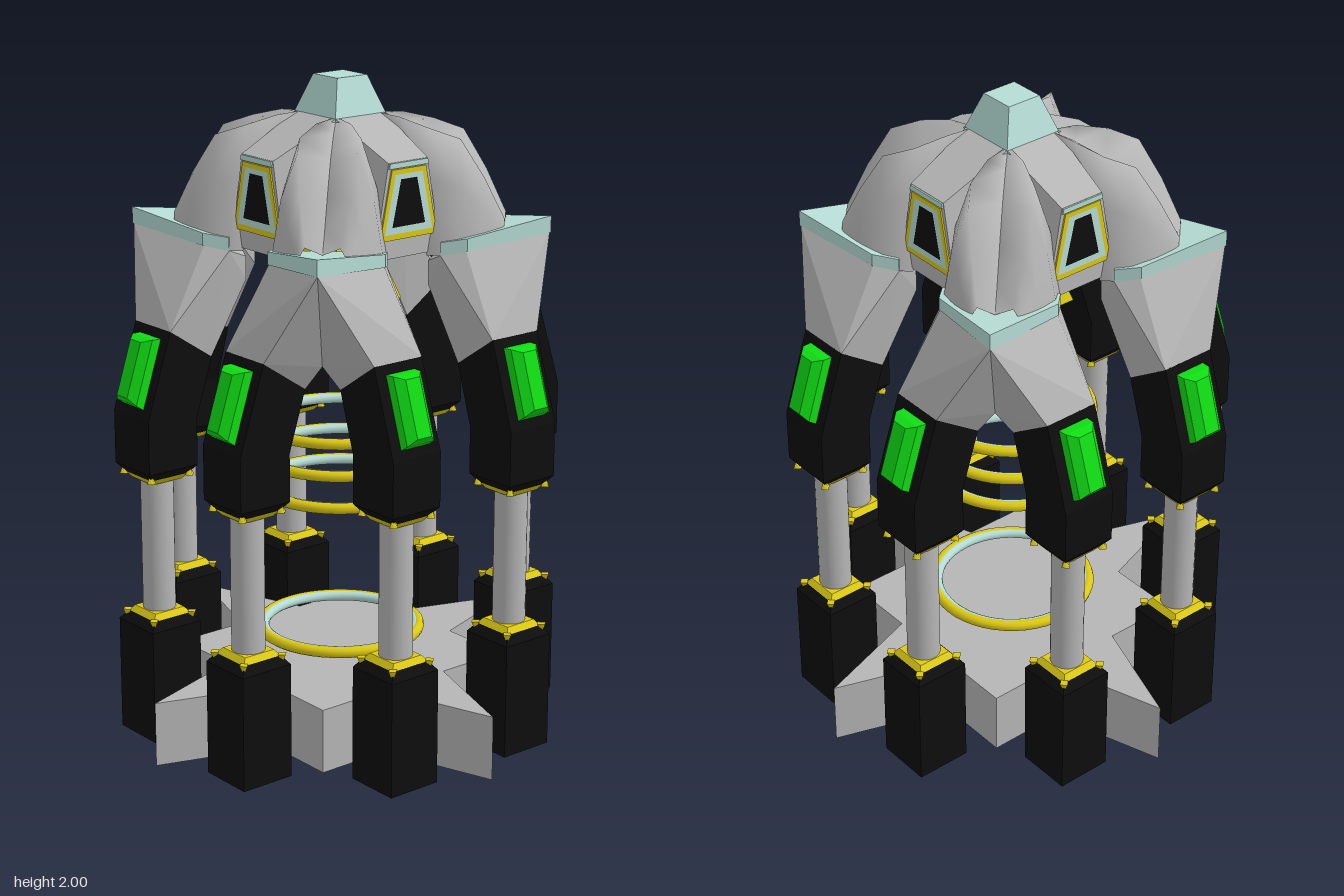
import * as THREE from 'three';
import { ConvexGeometry } from 'three/addons/geometries/ConvexGeometry.js';

const mat = (name, color, side = THREE.FrontSide) =>
  Object.assign(new THREE.MeshStandardMaterial({ color, side }), { name });

export function createModel() {
  const grey = mat('stone grey', 0xb6b6b6, THREE.DoubleSide);
  const teal = mat('pale teal', 0xb6dcd5, THREE.DoubleSide);
  const yellow = mat('yellow', 0xdcc914, THREE.DoubleSide);
  const green = mat('signal green', 0x10dd14);
  const black = mat('black', 0x0d0d0d, THREE.DoubleSide);

  const root = new THREE.Group();
  root.name = 'walkerTower';
  const add = (parent, name, geometry, material, x = 0, y = 0, z = 0) => {
    const m = new THREE.Mesh(geometry, material);
    m.name = name;
    m.position.set(x, y, z);
    parent.add(m);
    return m;
  };
  const group = (parent, name, angle = 0) => {
    const g = new THREE.Group();
    g.name = name;
    g.rotation.y = angle;
    parent.add(g);
    return g;
  };
  const hull = pts => new ConvexGeometry(pts.map(p => new THREE.Vector3(...p)));
  const flat = g => {
    const f = g.toNonIndexed();
    f.computeVertexNormals();
    return f;
  };
  // Square frustum given by half widths, standing on its base
  const frustum = (bottom, top, h) =>
    flat(new THREE.CylinderGeometry(top * Math.SQRT2, bottom * Math.SQRT2, h, 4)
      .rotateY(Math.PI / 4).translate(0, h / 2, 0));
  const poly = pts => new THREE.Shape(pts.map(p => new THREE.Vector2(...p)));

  // Star-shaped base plate
  const starPts = [];
  for (let k = 0; k < 4; k++) {
    const a = k * Math.PI / 2, c = Math.cos(a), s = Math.sin(a);
    for (const [x, y] of [[0.5, 0], [1 / 3, 1 / 6], [0.5, 0.5], [1 / 6, 1 / 3]])
      starPts.push([x * c - y * s, x * s + y * c]);
  }
  add(root, 'starBase', new THREE.ExtrudeGeometry(poly(starPts), { depth: 0.2, bevelEnabled: false })
    .rotateX(-Math.PI / 2), grey);

  // Floating rings, teal on the inside
  for (const y of [0.28, 0.74, 0.84, 0.94]) {
    add(root, 'ring', new THREE.TorusGeometry(0.245, 0.017, 10, 48).rotateX(Math.PI / 2), yellow, 0, y);
    add(root, 'ringLining', new THREE.TorusGeometry(0.236, 0.0155, 10, 48).rotateX(Math.PI / 2), teal, 0, y);
  }

  // Chamfered cap with yellow trim and corner studs
  const addCap = (parent, y, flip) => {
    const cap = group(parent, 'legCap');
    cap.position.y = y;
    if (flip) cap.rotation.x = Math.PI;
    add(cap, 'capChamfer', frustum(0.088, 0.067, 0.027), black);
    add(cap, 'capTrim', frustum(0.067, 0.053, 0.018), yellow, 0, 0.027);
    for (const sx of [-1, 1]) for (const sz of [-1, 1])
      add(cap, 'cornerStud', new THREE.ConeGeometry(0.016, 0.035, 4).rotateX(Math.PI), yellow,
        sx * 0.07, 0.015, sz * 0.07);
  };

  // One leg; local z points outwards
  const legProfile = [[0.439, 0.855], [0.615, 0.855], [0.615, 1.02], [0.53, 1.28], [0.382, 1.18], [0.439, 1.0]];
  const addLeg = (parent, u) => {
    const leg = group(parent, 'leg');
    leg.position.x = u;
    const lower = group(leg, 'legCore');
    lower.position.z = 0.527;
    add(lower, 'foot', new THREE.BoxGeometry(0.176, 0.355, 0.176), black, 0, 0.1775);
    addCap(lower, 0.355, false);
    addCap(lower, 0.855, true);
    add(lower, 'piston', new THREE.CylinderGeometry(0.05, 0.05, 0.44, 24), grey, 0, 0.6);
    add(leg, 'upperLeg', new THREE.ExtrudeGeometry(poly(legProfile), { depth: 0.176, bevelEnabled: false })
      .rotateY(-Math.PI / 2).translate(0.088, 0, 0), black);
    const pts = [];
    for (const sx of [-1, 1]) for (const sy of [-1, 1])
      pts.push([sx * 0.052, sy * 0.108, 0], [sx * 0.05, sy * 0.1, 0.028], [sx * 0.026, sy * 0.085, 0.05]);
    add(leg, 'greenLamp', hull(pts), green, 0, 1.15, 0.572).rotation.x = -0.316;
  };

  // Trapezoid plate, optionally with a trapezoid hole: [bottom, top, half bottom, half top]
  const trapezoid = ([y0, y1, b, t]) => [[-b, y0], [b, y0], [t, y1], [-t, y1]];
  const plate = (outer, inner) => {
    const s = poly(trapezoid(outer));
    if (inner) s.holes.push(poly(trapezoid(inner)));
    return new THREE.ExtrudeGeometry(s, { depth: 0.005, bevelEnabled: false });
  };

  // Four corners: a pair of legs below a windowed dormer
  for (let k = 0; k < 4; k++) {
    const corner = group(root, 'corner', Math.PI / 4 + k * Math.PI / 2);
    for (const s of [-1, 1]) addLeg(corner, s * 0.223);
    const dormer = [];
    for (const s of [-1, 1])
      dormer.push([s * 0.092, 1.89, 0.092], [s * 0.074, 1.79, 0.308], [s * 0.125, 1.51, 0.308],
        [s * 0.125, 1.51, 0.27], [s * 0.09, 1.68, 0.092]);
    add(corner, 'dormer', hull(dormer), grey);
    const yellowEdge = [1.565, 1.77, 0.108, 0.064];
    const tealEdge = [1.582, 1.755, 0.09, 0.051];
    const glassEdge = [1.602, 1.74, 0.062, 0.03];
    add(corner, 'windowFrame', plate(yellowEdge, tealEdge), yellow, 0, 0, 0.308);
    add(corner, 'windowSurround', plate(tealEdge, glassEdge), teal, 0, 0, 0.308);
    add(corner, 'windowGlass', plate(glassEdge), black, 0, 0, 0.308);
    add(corner, 'windowLintel', plate([1.773, 1.789, 0.074, 0.071]), teal, 0, 0, 0.308);
  }

  // Half of a folded roof petal: rows of [z, edgeX, edgeY, crestX, crestY, valleyY]
  const petalRows = [
    [0.12, 0.02, 1.84, 0.01, 1.89, 1.885],
    [0.18, 0.075, 1.74, 0.05, 1.885, 1.86],
    [0.27, 0.165, 1.5, 0.088, 1.86, 1.80],
    [0.36, 0.165, 1.5, 0.085, 1.83, 1.71],
    [0.43, 0.13, 1.5, 0.07, 1.715, 1.63],
    [0.49, 0.085, 1.5, 0.05, 1.59, 1.57],
  ];
  const petalHalf = s => {
    const pos = [], idx = [], n = 4;
    for (const [z, ex, ey, cx, cy, vy] of petalRows) {
      const pts = [[ex, ey], [ex * 0.6 + cx * 0.4, ey * 0.4 + cy * 0.6], [cx, cy], [0, vy]];
      for (const [x, y] of pts) pos.push(s * x, y, z);
    }
    for (let i = 0; i < petalRows.length - 1; i++)
      for (let j = 0; j < n - 1; j++) {
        const a = i * n + j, b = a + 1, c = a + n, d = c + 1;
        if (s > 0) idx.push(a, b, c, b, d, c);
        else idx.push(a, c, b, b, c, d);
      }
    const g = new THREE.BufferGeometry();
    g.setAttribute('position', new THREE.Float32BufferAttribute(pos, 3));
    g.setIndex(idx);
    g.computeVertexNormals();
    return g;
  };

  // Four sides: shoulder spanning two legs, teal deck and roof petal
  for (let k = 0; k < 4; k++) {
    const side = group(root, 'side', k * Math.PI / 2);
    const deck = [];
    for (const s of [-1, 1]) {
      add(side, 'shoulder', hull([
        [0, 1.54, 0.622], [s * 0.165, 1.515, 0.385], [s * 0.165, 1.5, 0.31], [0, 1.5, 0.31],
        [s * 0.1, 1.47, 0.27], [s * 0.1, 1.4, 0.27], [0, 1.25, 0.5],
        [s * 0.279, 1.28, 0.47], [s * 0.155, 1.28, 0.595],
        [s * 0.175, 1.18, 0.366], [s * 0.05, 1.18, 0.49],
      ]), grey);
      add(side, 'roofPetal', petalHalf(s), grey);
      deck.push([s * 0.168, 1.515, 0.388], [s * 0.168, 1.553, 0.388],
        [s * 0.168, 1.5, 0.31], [s * 0.168, 1.54, 0.31]);
    }
    deck.push([0, 1.54, 0.626], [0, 1.59, 0.626]);
    add(side, 'shoulderDeck', hull(deck), teal);
  }

  // Central hub, crown and hanging lamp
  add(root, 'hub', flat(new THREE.CylinderGeometry(0.11, 0.2, 0.23, 8)), grey, 0, 1.765);
  add(root, 'crown', frustum(0.095, 0.056, 0.11).rotateY(Math.PI / 4), teal, 0, 1.89);
  add(root, 'lampNeck', new THREE.CylinderGeometry(0.07, 0.07, 0.09, 20), yellow, 0, 1.62);
  add(root, 'lampShade', frustum(0.13, 0.045, 0.26).rotateY(Math.PI / 4), yellow, 0, 1.33);

  return root;
}
